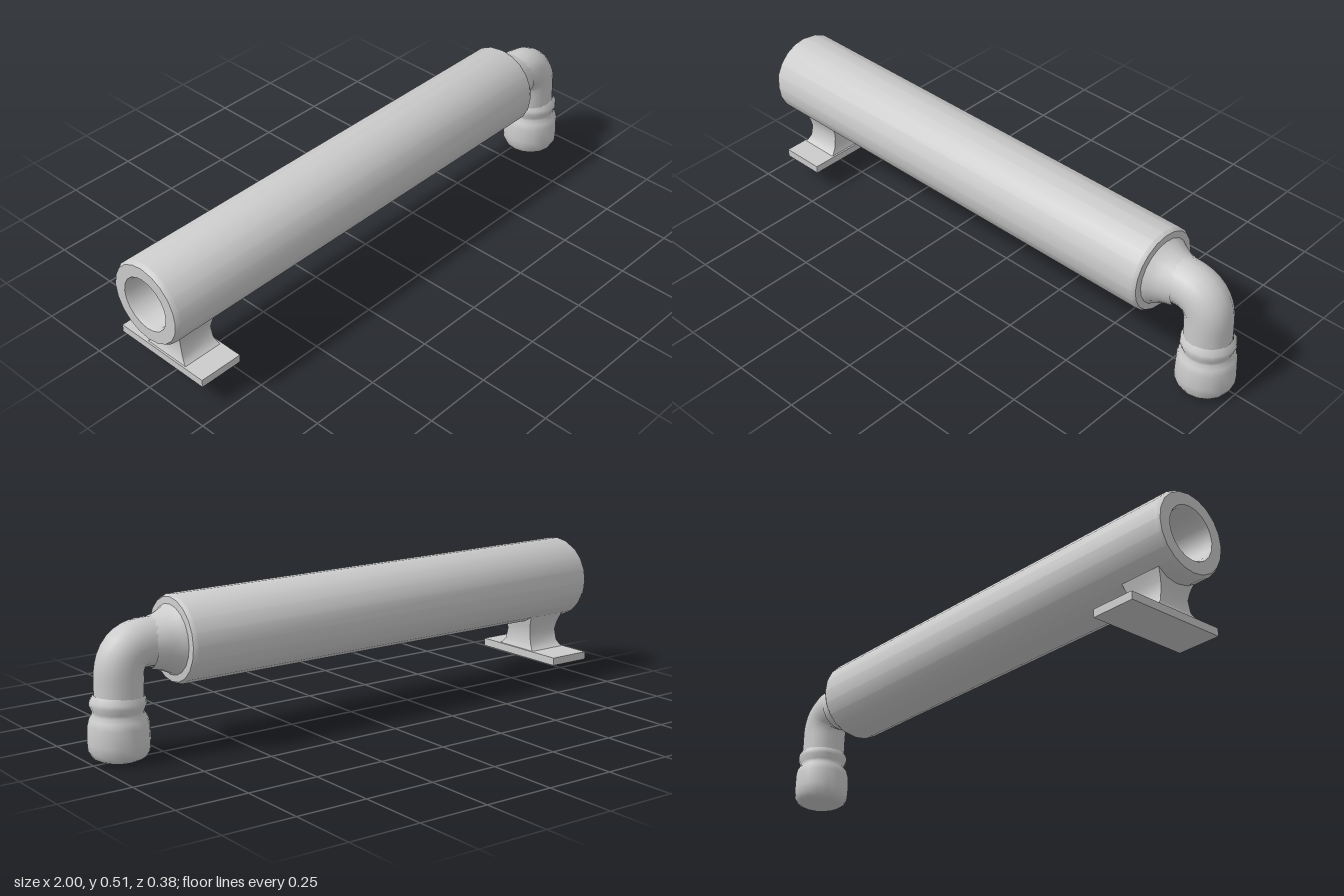
import * as THREE from 'three';
import { toCreasedNormals } from 'three/addons/utils/BufferGeometryUtils.js';

const grey = new THREE.MeshStandardMaterial({ color: 0xcccccc });
const AXIS_Y = 0.36, AXIS_Z = 0.022;

function part(name, geometry, crease = 0.6) {
  const mesh = new THREE.Mesh(toCreasedNormals(geometry, crease), grey);
  mesh.name = name;
  return mesh;
}

// Turned part from [radius, height] pairs, listed bottom to top
function turned(profile, sides) {
  return new THREE.LatheGeometry(profile.map(([r, h]) => new THREE.Vector2(r, h)), sides);
}

export function createModel() {
  const group = new THREE.Group();
  group.name = 'pipeAssembly';

  // Long barrel with a bore in its left end and a flared neck at the other
  const barrel = turned([
    [0, -0.4], [0.088, -0.4], [0.088, -0.985], [0.095, -1], [0.138, -1], [0.147, -0.985],
    [0.147, 0.685], [0.139, 0.698], [0.116, 0.7], [0.106, 0.715], [0.092, 0.745], [0.082, 0.79],
  ], 20);
  barrel.rotateZ(-Math.PI / 2);
  barrel.translate(0, AXIS_Y, AXIS_Z);
  group.add(part('barrel', barrel));

  // Elbow pipe turning downwards
  const path = new THREE.CurvePath();
  const v = (x, y) => new THREE.Vector3(x, y, AXIS_Z);
  path.add(new THREE.LineCurve3(v(0.72, 0.367), v(0.79, 0.367)));
  path.add(new THREE.QuadraticBezierCurve3(v(0.79, 0.367), v(0.888, 0.367), v(0.888, 0.265)));
  path.add(new THREE.LineCurve3(v(0.888, 0.265), v(0.891, 0.17)));
  group.add(part('elbow', new THREE.TubeGeometry(path, 20, 0.08, 16, false), 0.9));

  // Collar ring and rounded end cap
  const cap = turned([
    [0, 0.002], [0.074, 0.004], [0.088, 0.012], [0.099, 0.032], [0.101, 0.06], [0.099, 0.115],
    [0.093, 0.138], [0.083, 0.152], [0.084, 0.163], [0.092, 0.182], [0.09, 0.196], [0.078, 0.215],
  ], 16);
  cap.translate(0.894, 0, AXIS_Z + 0.001);
  group.add(part('endCap', cap, 0.8));

  // Foot plate
  const plate = new THREE.BoxGeometry(0.16, 0.028, 0.38);
  plate.translate(-0.86, 0.099, 0);
  group.add(part('footPlate', plate));

  // Waisted neck between plate and barrel: [y, half width x, half depth z]
  const rows = [
    [0.105, 0.077, 0.1], [0.118, 0.071, 0.082], [0.135, 0.065, 0.068],
    [0.175, 0.063, 0.06], [0.205, 0.069, 0.066], [0.25, 0.08, 0.085],
  ];
  const neck = new THREE.BoxGeometry(2, rows.length - 1, 2, 1, rows.length - 1, 1);
  const p = neck.attributes.position;
  for (let i = 0; i < p.count; i++) {
    const [y, hx, hz] = rows[Math.round(p.getY(i) + (rows.length - 1) / 2)];
    p.setXYZ(i, -0.86 + p.getX(i) * hx, y, AXIS_Z * 0.8 + p.getZ(i) * hz);
  }
  group.add(part('footNeck', neck, 0.8));

  return group;
}
